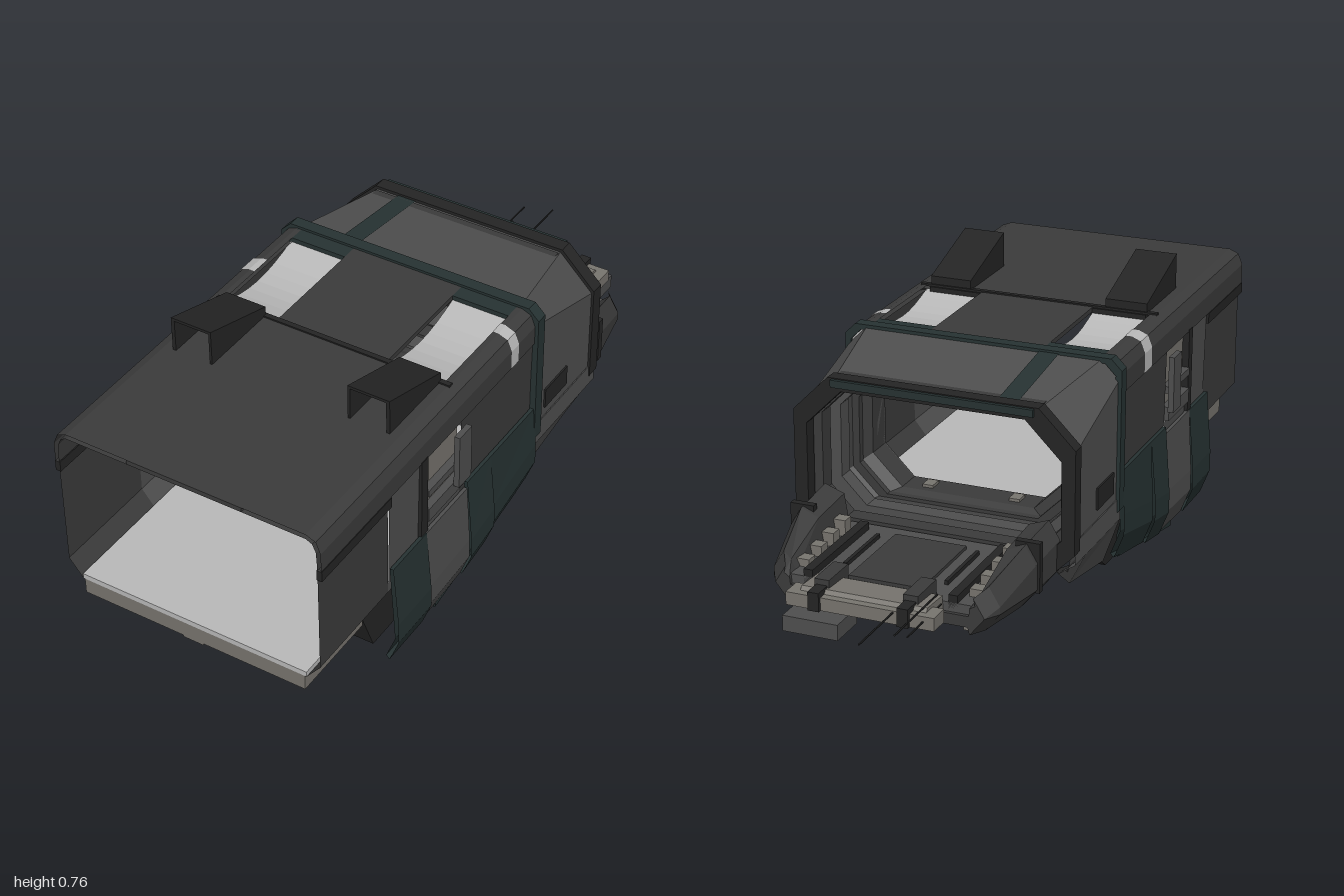
import * as THREE from 'three';

const paint = (color) => new THREE.MeshStandardMaterial({ color, flatShading: true, side: THREE.DoubleSide });
const M = { dark: paint(0x3b3b3b), mid: paint(0x4e4e4e), green: paint(0x263232), black: paint(0x242424), light: paint(0xb8b8b8), steel: paint(0x77746e) };

export function createModel() {
  const model = new THREE.Group();
  const add = (name, geo, mat) => {
    const m = new THREE.Mesh(geo, mat);
    m.name = name;
    model.add(m);
    return m;
  };
  // Same part on both sides
  const pair = (name, geo, mat) => {
    add(name + 'Left', geo, mat);
    add(name + 'Right', geo, mat).scale.x = -1;
  };
  // Box from its limits
  const box = (x0, x1, y0, y1, z0, z1) =>
    new THREE.BoxGeometry(x1 - x0, y1 - y0, Math.abs(z1 - z0)).translate((x0 + x1) / 2, (y0 + y1) / 2, (z0 + z1) / 2);
  // Skin stretched over cross-sections of [x, y, z] points
  const loft = (rings, closed = false) => {
    const p = [];
    for (let i = 0; i < rings.length - 1; i++) {
      const a = rings[i], b = rings[i + 1], n = a.length;
      for (let j = 0; j < (closed ? n : n - 1); j++) {
        const k = (j + 1) % n;
        p.push(...a[j], ...b[j], ...b[k], ...a[j], ...b[k], ...a[k]);
      }
    }
    const g = new THREE.BufferGeometry();
    g.setAttribute('position', new THREE.Float32BufferAttribute(p, 3));
    g.computeVertexNormals();
    return g;
  };
  const at = (pts, z) => pts.map(([x, y]) => [x, y, z]);
  const strip = (pts, z0, z1) => loft([at(pts, z0), at(pts, z1)]);
  // Prism from a side outline of [z, y] points
  const sidePrism = (pts, x0, x1) => {
    const s = new THREE.Shape(pts.map(([z, y]) => new THREE.Vector2(-z, y)));
    return new THREE.ExtrudeGeometry(s, { depth: x1 - x0, bevelEnabled: false }).rotateY(Math.PI / 2).translate(x0, 0, 0);
  };
  // Octagon with chamfered corners
  const octagon = (w, y0, y1, top, bottom) => {
    const half = [[w - top, y1], [w, y1 - top], [w, y0 + bottom], [w - bottom, y0]];
    return [...half, ...half.slice().reverse().map(([x, y]) => [-x, y])];
  };
  const frame = (name, out, inn, z0, z1, mat) =>
    add(name, loft([at(out, z0), at(out, z1), at(inn, z1), at(inn, z0), at(out, z0)], true), mat);

  // Roof: centre spine, shoulders and recessed bright panels
  add('roofSpine', box(-0.165, 0.165, 0.65, 0.663, -0.03, 1), M.dark);
  const shoulder = [[0.165, 0.663], [0.345, 0.663], [0.372, 0.652], [0.385, 0.62], [0.385, 0.565], [0.375, 0.565], [0.372, 0.62], [0.362, 0.642], [0.345, 0.65], [0.165, 0.65]];
  pair('roofShoulder', strip(shoulder, 0.35, 1), M.dark);
  pair('roofEdge', strip([[0.33, 0.663], ...shoulder.slice(1, 8), [0.33, 0.65]], -0.03, 0.35), M.dark);
  const dip = [];
  for (let i = 0; i <= 8; i++) {
    const y = 0.65 - 0.03 * Math.sin(i / 8 * Math.PI);
    dip.push([[0.165, y, 0.03 + i * 0.04], [0.335, y, 0.03 + i * 0.04]]);
  }
  pair('roofRecess', loft(dip), M.light);
  pair('roofCrossbar', box(0.165, 0.34, 0.64, 0.663, -0.03, 0.03), M.green);
  add('roofSeam', box(-0.35, 0.35, 0.66, 0.667, 0.345, 0.36), M.black);
  // Bright patches that follow the roof edge, staggered in z
  const patch = shoulder.slice(1, 5).map(([x, y]) => [x + 0.002, y + 0.002]);
  patch.unshift([0.33, 0.665]);
  add('edgePatchLeft', strip(patch, 0.07, 0.11), M.light);
  add('edgePatchRight', strip(patch, 0.15, 0.21), M.light).scale.x = -1;

  // Roof scoops: sloping lid on two cheeks, open at the front
  const cheek = [[0.59, 0.763], [0.59, 0.66], [0.35, 0.66], [0.35, 0.69]];
  pair('scoopOuterCheek', sidePrism(cheek, 0.31, 0.32), M.black);
  pair('scoopInnerCheek', sidePrism(cheek, 0.2, 0.207), M.black);
  pair('scoopLid', sidePrism([[0.59, 0.763], [0.59, 0.755], [0.35, 0.68], [0.35, 0.69]], 0.2, 0.32), M.black);
  pair('scoopBack', box(0.2, 0.32, 0.66, 0.69, 0.35, 0.36), M.black);
  pair('scoopBase', box(0.16, 0.32, 0.64, 0.661, 0.34, 0.6), M.black);

  // Side walls, with a shallow window bay
  const wall = [[0.375, 0.57], [0.375, 0.25], [0.335, 0.2]];
  pair('frontWall', strip(wall, 0.69, 1), M.dark);
  pair('middleWall', strip([[0.38, 0.57], ...wall.slice(1)], 0.52, 0.69), M.mid);
  pair('windowSill', strip([[0.378, 0.37], ...wall.slice(1)], 0.35, 0.52), M.mid);
  pair('rearWall', strip([[0.38, 0.57], ...wall.slice(1)], -0.03, 0.35), M.dark);
  pair('wallRail', box(0.372, 0.387, 0.535, 0.565, 0.69, 1), M.black);
  pair('wallPost', box(0.365, 0.387, 0.2, 0.57, 0.52, 0.55), M.black);
  pair('windowPane', box(0.362, 0.368, 0.37, 0.57, 0.35, 0.52), M.steel);
  pair('windowFrame', box(0.365, 0.39, 0.36, 0.40, 0.35, 0.52), M.mid);
  pair('windowHatch', box(0.39, 0.406, 0.39, 0.55, 0.34, 0.4), M.mid);
  pair('windowBrace', box(0.365, 0.39, 0.44, 0.46, 0.35, 0.52), M.mid);

  // Floor, keel and belly
  add('floor', box(-0.335, 0.335, 0.2, 0.215, -0.03, 1), M.light);
  add('frontKeel', box(-0.33, 0.33, 0.155, 0.2, 0.74, 1), M.steel);
  add('belly', sidePrism([[0.75, 0.2], [0.69, 0.05], [0.03, 0.05], [-0.04, 0.1], [-0.1, 0.13], [-0.1, 0.2]], -0.33, 0.33), M.black);
  add('bellySlot', box(-0.03, 0.03, 0.15, 0.16, 0.98, 1), M.steel);

  // Lower side armour: plates that bend inward at the bottom
  const plate = (z0, z1, top0, top1, b0, b1, out) => {
    const sec = (z, top, b) => at([[0.39, top], [out, b + 0.13], [out, b + 0.07], [out - 0.027, b], [out - 0.037, b + 0.01], [out - 0.01, b + 0.08], [0.38, top]], z);
    return loft([sec(z0, top0, b0), sec(z1, top1, b1)], true);
  };
  pair('armourFront', plate(0.53, 0.69, 0.33, 0.33, 0.02, 0.02, 0.405), M.green);
  pair('armourMiddle', plate(0.33, 0.53, 0.33, 0.33, 0.03, 0.02, 0.4), M.mid);
  pair('armourStep', plate(0.21, 0.33, 0.35, 0.35, 0.05, 0.03, 0.405), M.green);
  pair('armourRear', plate(-0.02, 0.21, 0.35, 0.35, 0.1, 0.05, 0.398), M.green);
  // Inner fin hanging below the plates
  const fin = (z, b) => at([[0.385, 0.25], [0.36, 0.145], [0.362, b], [0.37, b + 0.005], [0.372, 0.145], [0.388, 0.24]], z);
  pair('armourFin', loft([fin(0.03, 0.08), fin(0.45, 0)], true), M.green);
  // Blade under the rear housing
  const blade = (z, b) => at([[0.388, 0.28], [0.39, 0.22], [0.345, b], [0.335, b + 0.01], [0.375, 0.22], [0.38, 0.28]], z);
  pair('armourBlade', loft([blade(-0.03, 0.09), blade(-0.28, 0.13), blade(-0.36, 0.19)], true), M.mid);

  // Collar and bright bulkhead around the join
  frame('collar', octagon(0.395, 0.2, 0.67, 0.03, 0.05), octagon(0.378, 0.21, 0.655, 0.03, 0.05), -0.05, -0.015, M.green);
  frame('bulkhead', octagon(0.38, 0.205, 0.658, 0.02, 0.05), octagon(0.362, 0.215, 0.626, 0.04, 0.04), -0.04, -0.03, M.light);

  // Rear housing tapering to the open mouth
  const bodyA = octagon(0.385, 0.19, 0.662, 0.05, 0.06), bodyB = octagon(0.385, 0.19, 0.625, 0.1, 0.06);
  add('rearHousing', loft([at(bodyA, -0.04), at(bodyB, -0.34)], true), M.mid);
  frame('mouthRim', octagon(0.392, 0.18, 0.635, 0.1, 0.07), octagon(0.355, 0.215, 0.6, 0.1, 0.07), -0.37, -0.33, M.black);
  add('mouthVisor', box(-0.28, 0.28, 0.612, 0.632, -0.38, -0.34), M.green);
  pair('housingVent', box(0.384, 0.39, 0.31, 0.37, -0.2, -0.08), M.black);
  add('housingPanel', loft([[[-0.22, 0.664, -0.05], [-0.165, 0.664, -0.05]], [[-0.22, 0.628, -0.335], [-0.165, 0.628, -0.335]]]), M.green);

  // Stepped rings that narrow the passage
  for (let i = 0; i < 4; i++) {
    const k = i * 0.02, ring = (w, y0, y1) => octagon(w - k, y0 + k * 0.5, y1 - k, 0.09 - k, 0.065 + k / 3);
    frame('passageRing', ring(0.375, 0.2, 0.63), ring(0.335, 0.23, 0.605), -0.32 + i * 0.07, -0.27 + i * 0.07, i % 2 ? M.mid : M.dark);
  }
  const throat = octagon(0.275, 0.26, 0.545, 0.03, 0.085);
  add('passageFunnel', loft([at(octagon(0.365, 0.215, 0.625, 0.04, 0.05), 0), at(throat, -0.06), at(throat, -0.14), at(octagon(0.335, 0.23, 0.605, 0.08, 0.07), -0.2)], true), M.dark);
  pair('floorLatch', box(0.11, 0.14, 0.255, 0.268, -0.12, -0.08), M.steel);

  // Loading deck
  add('deck', box(-0.25, 0.25, 0.185, 0.225, -0.69, -0.33), M.mid);
  add('deckUnderside', sidePrism([[-0.08, 0.2], [-0.08, 0.13], [-0.6, 0.13], [-0.7, 0.17], [-0.7, 0.2]], -0.25, 0.25), M.dark);
  pair('deckRail', box(0.185, 0.21, 0.2, 0.245, -0.69, -0.36), M.black);
  pair('deckGroove', box(0.135, 0.145, 0.225, 0.236, -0.6, -0.4), M.black);
  add('deckPlate', box(-0.1, 0.1, 0.225, 0.234, -0.66, -0.38), M.dark);
  pair('underRail', box(0.19, 0.23, 0.115, 0.135, -0.61, -0.1), M.steel);
  pair('underBeam', box(0.07, 0.1, 0.118, 0.135, -0.6, -0.1), M.black);
  for (let i = 0; i < 4; i++) {
    add('underRib', box(-0.2, 0.2, 0.12, 0.132, -0.2 - i * 0.12, -0.16 - i * 0.12), M.mid);
    pair('sideClamp', box(0.22, 0.26, 0.2, 0.27 - i * 0.008, -0.43 - i * 0.07, -0.395 - i * 0.07), M.steel);
  }

  // Side sponsons beside the deck
  const sponson = (z, x, y) => at([[0.24, 0.17], [x - 0.04, 0.15], [x, 0.2], [x, y - 0.05], [x - 0.03, y], [0.26, y - 0.02], [0.245, 0.22]], z);
  const tip = sponson(-0.7, 0.285, 0.25);
  pair('sponson', loft([sponson(-0.35, 0.345, 0.33), sponson(-0.5, 0.34, 0.32), sponson(-0.66, 0.31, 0.27), tip, tip.map(() => [0.265, 0.21, -0.7])], true), M.dark);
  pair('sponsonBand', box(0.28, 0.346, 0.19, 0.325, -0.49, -0.47), M.black);

  // Rear coupling with claws, rods and a hanging box
  add('couplingBeam', sidePrism([[-0.69, 0.24], [-0.69, 0.18], [-0.77, 0.19], [-0.81, 0.21], [-0.78, 0.245]], -0.17, 0.17), M.steel);
  add('couplingBar', box(-0.2, 0.2, 0.2, 0.235, -0.81, -0.75), M.steel);
  add('hangingBox', box(0.04, 0.19, 0.148, 0.19, -0.85, -0.74), M.mid);
  pair('claw', box(0.1, 0.14, 0.19, 0.265, -0.77, -0.66), M.dark);
  pair('clawTip', box(0.105, 0.135, 0.2, 0.25, -0.82, -0.77), M.black);
  for (const [x, y, end] of [[-0.09, 0.23, 1], [-0.16, 0.245, 0.95], [-0.17, 0.22, 0.9]])
    add('antennaRod', new THREE.CylinderGeometry(0.0025, 0.0025, end - 0.7, 6).rotateX(Math.PI / 2).translate(x, y, -(end + 0.7) / 2), M.black);
  return model;
}
